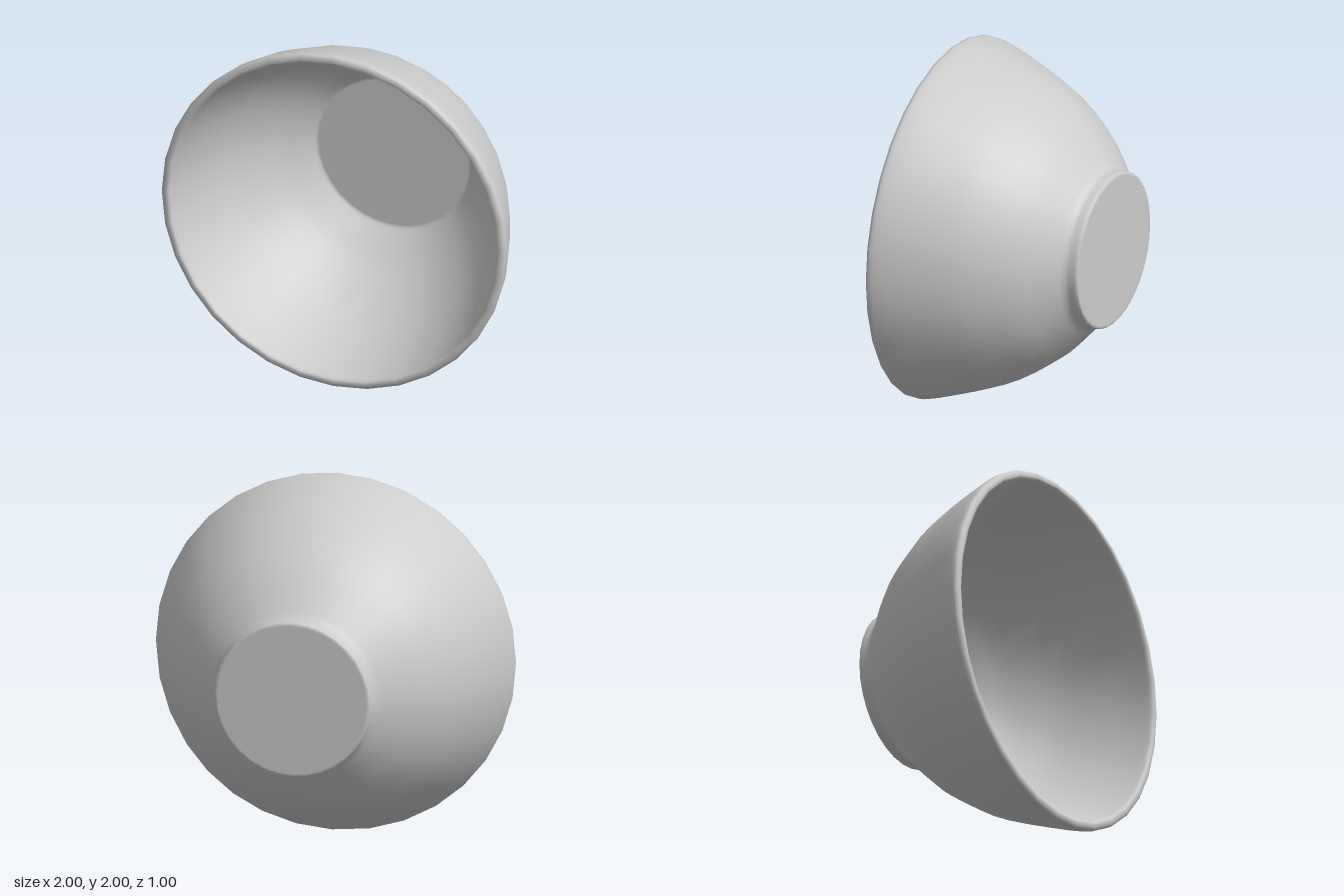
import * as THREE from 'three';

const SIDES = 32;

// Smooth run of profile points through a few [radius, depth] pairs
function smoothRun(pairs, steps) {
  return new THREE.SplineCurve(pairs.map(([r, d]) => new THREE.Vector2(r, d))).getPoints(steps);
}

export function createModel() {
  const group = new THREE.Group();
  const material = new THREE.MeshStandardMaterial({ color: 0xcccccc });

  // Flat underside and short foot ring
  const foot = [[0, -0.5], [0.415, -0.5], [0.427, -0.498], [0.433, -0.492], [0.436, -0.475], [0.436, -0.45], [0.442, -0.43]]
    .map(([r, d]) => new THREE.Vector2(r, d));

  // Outer wall flaring from the foot to the rim
  const outer = smoothRun([[0.458, -0.411], [0.5, -0.375], [0.6, -0.285], [0.69, -0.19], [0.82, 0], [0.91, 0.2], [0.97, 0.36], [0.997, 0.455]], 16);

  // Rounded lip
  const lip = [[1, 0.475], [0.997, 0.488], [0.985, 0.497], [0.968, 0.5], [0.955, 0.496], [0.948, 0.48]]
    .map(([r, d]) => new THREE.Vector2(r, d));

  // Inner wall running back down to a flat floor
  const inner = smoothRun([[0.942, 0.455], [0.915, 0.35], [0.862, 0.2], [0.775, 0], [0.647, -0.19], [0.56, -0.285], [0.46, -0.375]], 14);
  const floor = [[0.448, -0.385], [0.435, -0.39], [0, -0.39]].map(([r, d]) => new THREE.Vector2(r, d));

  const bowl = new THREE.Mesh(
    new THREE.LatheGeometry([...foot, ...outer, ...lip, ...inner, ...floor], SIDES),
    material
  );
  bowl.name = 'bowl';

  // The bowl lies on its side with the opening toward the front
  bowl.rotation.x = Math.PI / 2;
  bowl.position.y = 1;
  group.add(bowl);
  return group;
}
